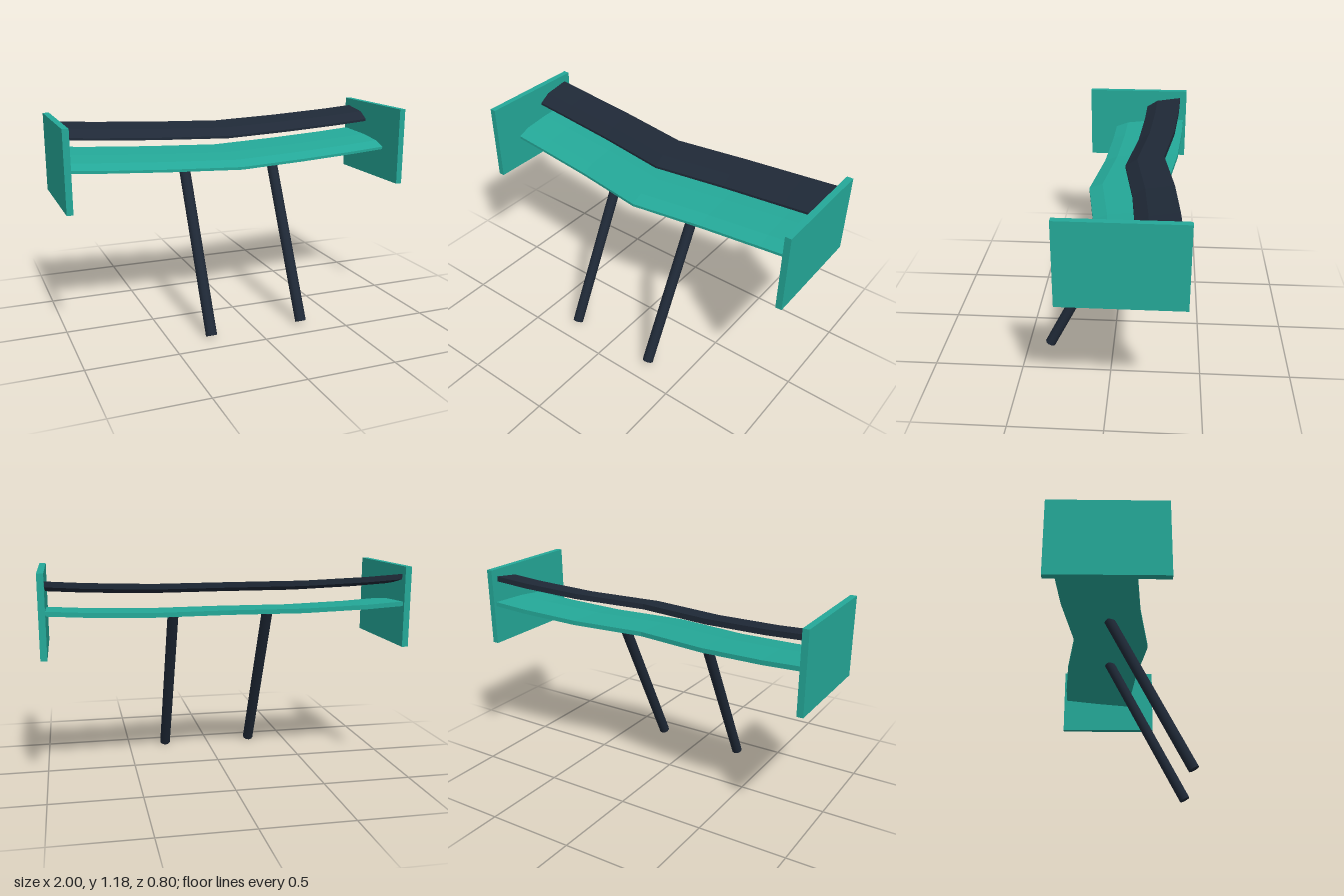
import * as THREE from 'three';

// Swept span stations: [x, sweep back in z, rise in y]
const half = [[0, 0, 0], [0.41, -0.058, 0.006], [0.76, -0.085, 0.021], [0.97, -0.094, 0.035]];
const stations = [...half.slice(1).reverse().map(([x, z, y]) => [-x, z, y]), ...half];

// Lofts a [z, y] profile (front bottom, over the top, to the back) along the span
function wing(profile) {
  const pos = [], idx = [], n = profile.length;
  for (const [x, dz, dy] of stations)
    for (const [z, y] of profile) pos.push(x, y + dy, z + dz);
  for (let s = 0; s < stations.length - 1; s++)
    for (let i = 0; i < n; i++) {
      const j = (i + 1) % n;
      const a = s * n + i, b = s * n + j, c = (s + 1) * n + j, d = (s + 1) * n + i;
      idx.push(a, d, c, a, c, b);
    }
  // End caps
  const e = (stations.length - 1) * n;
  for (let i = 1; i < n - 1; i++) idx.push(0, i, i + 1, e, e + i + 1, e + i);
  const g = new THREE.BufferGeometry();
  g.setAttribute('position', new THREE.Float32BufferAttribute(pos, 3));
  g.setIndex(idx);
  const flat = g.toNonIndexed();
  flat.computeVertexNormals();
  return flat;
}

export function createModel() {
  const teal = new THREE.MeshStandardMaterial({ color: 0x24a898 });
  teal.name = 'teal';
  const dark = new THREE.MeshStandardMaterial({ color: 0x1f2937 });
  dark.name = 'dark navy';

  const model = new THREE.Group();
  model.name = 'rearWing';
  const add = (name, geometry, material) => {
    const mesh = new THREE.Mesh(geometry, material);
    mesh.name = name;
    model.add(mesh);
    return mesh;
  };

  // Lower main plane
  add('mainPlane', wing([
    [0.155, 0.885], [0.155, 0.9], [0.08, 0.928], [-0.07, 0.945],
    [-0.29, 0.955], [-0.29, 0.93], [-0.07, 0.905],
  ]), teal);

  // Upper flap
  add('upperFlap', wing([
    [-0.05, 1.03], [-0.05, 1.043], [-0.025, 1.058], [-0.115, 1.083],
    [-0.265, 1.105], [-0.265, 1.075], [-0.15, 1.048],
  ].map(([z, y], i) => (i === 2 ? [-0.075, y] : [z, y]))), dark);

  // End plates and slanted support struts, mirrored
  const foot = new THREE.Vector3(0, 0.017, 0.373);
  const top = new THREE.Vector3(0, 0.91, -0.077);
  const direction = top.clone().sub(foot);
  for (const [side, label] of [[1, 'left'], [-1, 'right']]) {
    add(label + 'EndPlate', new THREE.BoxGeometry(0.035, 0.445, 0.632), teal)
      .position.set(side * 0.9825, 0.9605, -0.085);

    const strut = add(label + 'Strut',
      new THREE.CylinderGeometry(0.031, 0.031, direction.length(), 10), dark);
    strut.position.copy(foot).add(top).multiplyScalar(0.5);
    strut.position.x = side * 0.273;
    strut.quaternion.setFromUnitVectors(new THREE.Vector3(0, 1, 0), direction.clone().normalize());
  }
  return model;
}
